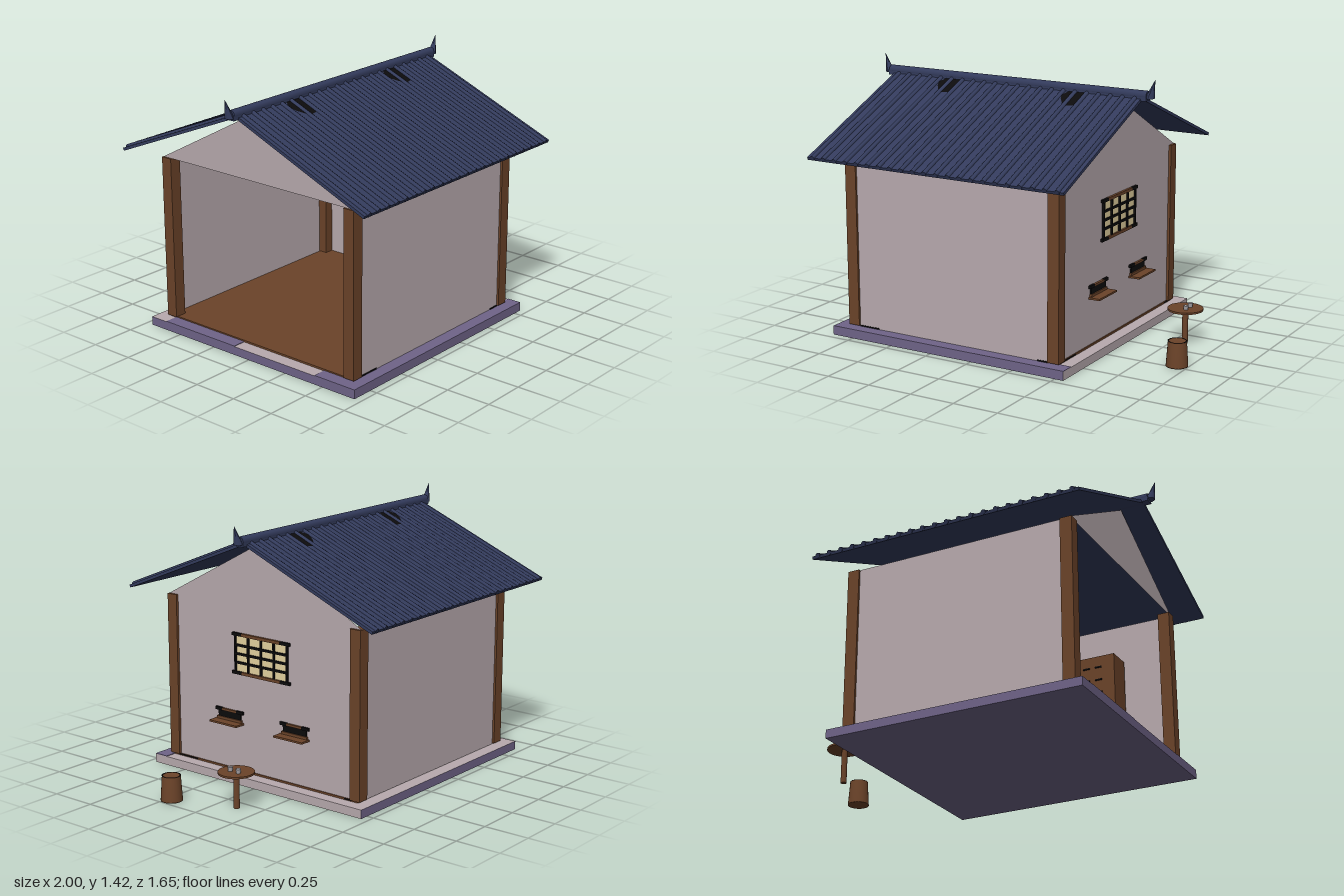
import * as THREE from 'three';

const mat = (name, color, side = THREE.FrontSide) => {
  const m = new THREE.MeshStandardMaterial({ color, side });
  m.name = name;
  return m;
};

export function createModel() {
  const plaster = mat('plaster', 0xb8aaae, THREE.DoubleSide);
  const stone = mat('purple stone', 0x6f6488);
  const wood = mat('wood', 0x6b4329);
  const tile = mat('roof tile', 0x333b5c);
  const black = mat('black', 0x0c0b0c, THREE.DoubleSide);
  const paper = mat('window paper', 0xe6d3a0);
  const grey = mat('grey ceramic', 0xa5a2a6);

  const model = new THREE.Group();
  model.name = 'house';
  const add = (parent, name, geo, material, x = 0, y = 0, z = 0) => {
    const m = new THREE.Mesh(geo, material);
    m.name = name;
    m.position.set(x, y, z);
    parent.add(m);
    return m;
  };
  // box given by its min and max corners
  const box = (parent, name, material, [x0, x1], [y0, y1], [z0, z1]) =>
    add(parent, name, new THREE.BoxGeometry(x1 - x0, y1 - y0, z1 - z0), material,
      (x0 + x1) / 2, (y0 + y1) / 2, (z0 + z1) / 2);
  const group = (name) => {
    const g = new THREE.Group();
    g.name = name;
    model.add(g);
    return g;
  };

  // Base slab and floor
  box(model, 'baseSlab', [plaster, stone, plaster, stone, stone, stone], [-0.875, 0.55], [0, 0.047], [-0.71, 0.71]);
  box(model, 'baseFrontStrip', stone, [-0.875, 0.55], [0.044, 0.05], [0.63, 0.71]);
  for (const z of [[-0.6, -0.1], [0.45, 0.63]])
    box(model, 'baseLeftStrip', stone, [-0.875, -0.8], [0.044, 0.05], z);
  box(model, 'floor', wood, [-0.8, 0.482], [0.047, 0.057], [-0.635, 0.635]);
  for (const z of [[-0.595, -0.55], [0.46, 0.595]])
    box(model, 'sideSill', black, [0.478, 0.484], [0.05, 0.057], z);
  for (const x of [[-0.745, -0.62], [0.36, 0.425]])
    box(model, 'frontSill', black, x, [0.05, 0.057], [0.636, 0.643]);

  // Corner posts
  for (const x of [-0.778, 0.457])
    for (const z of [-0.62, 0.62])
      box(model, 'cornerPost', wood, [x - 0.033, x + 0.033], [0.055, 0.95], [z - 0.032, z + 0.032]);

  // Thin walls: front, back, full gable on the right, upper gable on the open side
  const wallGeo = new THREE.PlaneGeometry(1.25, 0.9);
  add(model, 'frontWall', wallGeo, plaster, -0.16, 0.5, 0.64);
  add(model, 'backWall', wallGeo, plaster, -0.16, 0.5, -0.64).rotation.y = Math.PI;
  const gable = (bottom) => {
    const s = new THREE.Shape();
    if (bottom < 0.95) s.moveTo(-0.64, bottom).lineTo(0.64, bottom);
    else s.moveTo(-0.65, 0.95);
    s.lineTo(0.65, 0.95).lineTo(0, 1.305).lineTo(-0.65, 0.95);
    return new THREE.ShapeGeometry(s);
  };
  add(model, 'gableWall', gable(0.05), plaster, 0.476).rotation.y = Math.PI / 2;
  add(model, 'openSideGable', gable(0.95), plaster, -0.8).rotation.y = -Math.PI / 2;

  // Roof slopes with tile ribs and broken patches
  const run = 0.815, drop = 0.335;
  const length = Math.hypot(run, drop), pitch = Math.atan2(drop, run);
  const ribGeo = new THREE.CylinderGeometry(0.013, 0.013, length + 0.006, 8).rotateX(Math.PI / 2);
  for (const s of [1, -1]) {
    const slope = group(s > 0 ? 'frontRoofSlope' : 'backRoofSlope');
    slope.position.y = 1.322;
    slope.rotation.x = s * pitch;
    add(slope, 'roofSlab', new THREE.BoxGeometry(1.54, 0.016, length), tile, -0.16, 0, s * length / 2);
    for (let i = 0; i < 22; i++)
      add(slope, 'tileRib', ribGeo, tile, -0.895 + i * 0.07, 0.007, s * length / 2);
    for (const x of [-0.545, 0.225]) {
      const wide = new THREE.Shape();
      wide.moveTo(0.012, 0.02).lineTo(0.055, 0.02).lineTo(0.055, 0.15).lineTo(0.012, 0.158);
      const ragged = new THREE.Shape();
      ragged.moveTo(-0.012, 0.02).lineTo(-0.035, 0.02).lineTo(-0.06, 0.06).lineTo(-0.045, 0.1).lineTo(-0.012, 0.145);
      for (const shape of [wide, ragged])
        add(slope, 'roofHole', new THREE.ShapeGeometry(shape).rotateX(s * Math.PI / 2), black, x, 0.0095, 0);
    }
  }

  // Ridge with upswept end horns
  const ridge = group('ridge');
  box(ridge, 'ridgeBase', tile, [-0.965, 0.64], [1.31, 1.338], [-0.024, 0.024]);
  add(ridge, 'ridgeRoll', new THREE.CylinderGeometry(0.026, 0.026, 1.6, 8).rotateZ(Math.PI / 2), tile, -0.16, 1.337, 0);
  for (const s of [1, -1]) {
    const horn = new THREE.ConeGeometry(0.026, 0.1, 6);
    const p = horn.attributes.position;
    for (let i = 0; i < p.count; i++) p.setX(i, p.getX(i) + s * (p.getY(i) + 0.05) * 0.3);
    horn.computeVertexNormals();
    add(ridge, 'ridgeHorn', horn, tile, -0.16 + s * 0.81, 1.373, 0);
  }

  // Lattice window, flush with the posts
  const win = group('window');
  box(win, 'windowPaper', paper, [0.474, 0.479], [0.598, 0.794], [-0.175, 0.175]);
  for (let i = -2; i <= 2; i++)
    box(win, 'windowUpright', black, [0.474, 0.489], [0.595, 0.797], [i * 0.0875 - 0.005, i * 0.0875 + 0.005]);
  for (const y of [0.648, 0.695, 0.742])
    box(win, 'windowCrossbar', black, [0.474, 0.488], [y - 0.006, y + 0.006], [-0.175, 0.175]);
  for (const y of [0.592, 0.8]) {
    box(win, 'windowRail', wood, [0.474, 0.49], [y - 0.008, y + 0.008], [-0.13, 0.13]);
    for (const z of [[0.13, 0.195], [-0.195, -0.13]])
      box(win, 'windowRailEnd', black, [0.474, 0.49], [y - 0.008, y + 0.008], z);
  }

  // Small wall shelves
  for (const z of [-0.223, 0.223]) {
    const shelf = group('wallShelf');
    box(shelf, 'shelfBoard', wood, [0.474, 0.54], [0.307, 0.317], [z - 0.095, z + 0.095]);
    box(shelf, 'shelfBack', black, [0.474, 0.483], [0.317, 0.372], [z - 0.078, z + 0.078]);
    box(shelf, 'shelfTrim', wood, [0.474, 0.489], [0.317, 0.331], [z - 0.085, z + 0.085]);
    box(shelf, 'shelfRail', wood, [0.474, 0.489], [0.366, 0.378], [z - 0.05, z + 0.05]);
    for (const s of [-1, 1])
      box(shelf, 'shelfRailEnd', black, [0.474, 0.489], [0.364, 0.38], [z + s * 0.073 - 0.023, z + s * 0.073 + 0.023]);
  }

  // Drawer cabinet against the front wall
  const cabinet = group('cabinet');
  box(cabinet, 'cabinetBody', wood, [-0.52, 0.2], [0.057, 0.72], [0.48, 0.62]);
  for (let c = 0; c < 4; c++) {
    const x = -0.39 + c * 0.16;
    if (c) box(cabinet, 'cabinetDivider', black, [x - 0.083, x - 0.077], [0.1, 0.69], [0.474, 0.481]);
    for (let r = 0; r < 8; r++) {
      const y = 0.13 + r * 0.075;
      for (const dx of [-0.036, 0.036])
        box(cabinet, 'drawerGap', black, [x + dx - 0.02, x + dx + 0.02], [y - 0.004, y + 0.004], [0.474, 0.481]);
    }
  }
  box(model, 'floorBox', grey, [-0.43, -0.33], [0.057, 0.1], [0.28, 0.4]);

  // Round table with two cups
  const table = group('table');
  add(table, 'tableTop', new THREE.CylinderGeometry(0.095, 0.095, 0.01, 24), wood, 0.82, 0.192, -0.12);
  add(table, 'tableLeg', new THREE.CylinderGeometry(0.016, 0.016, 0.187, 12), wood, 0.82, 0.0935, -0.12);
  for (const z of [-0.093, -0.147])
    add(table, 'cup', new THREE.CylinderGeometry(0.014, 0.012, 0.022, 12), grey, 0.835, 0.208, z);

  // Tapered barrel stool
  const stool = group('stool');
  const profile = [[0, 0], [0.058, 0], [0.058, 0.004], [0.049, 0.135], [0.043, 0.135], [0.043, 0.128], [0, 0.128]];
  add(stool, 'stoolBody', new THREE.LatheGeometry(profile.map(([r, y]) => new THREE.Vector2(r, y)), 20), wood, 0.94, 0, 0.22);
  add(stool, 'stoolRim', new THREE.RingGeometry(0.043, 0.05, 20).rotateX(-Math.PI / 2), black, 0.94, 0.1355, 0.22);

  return model;
}
